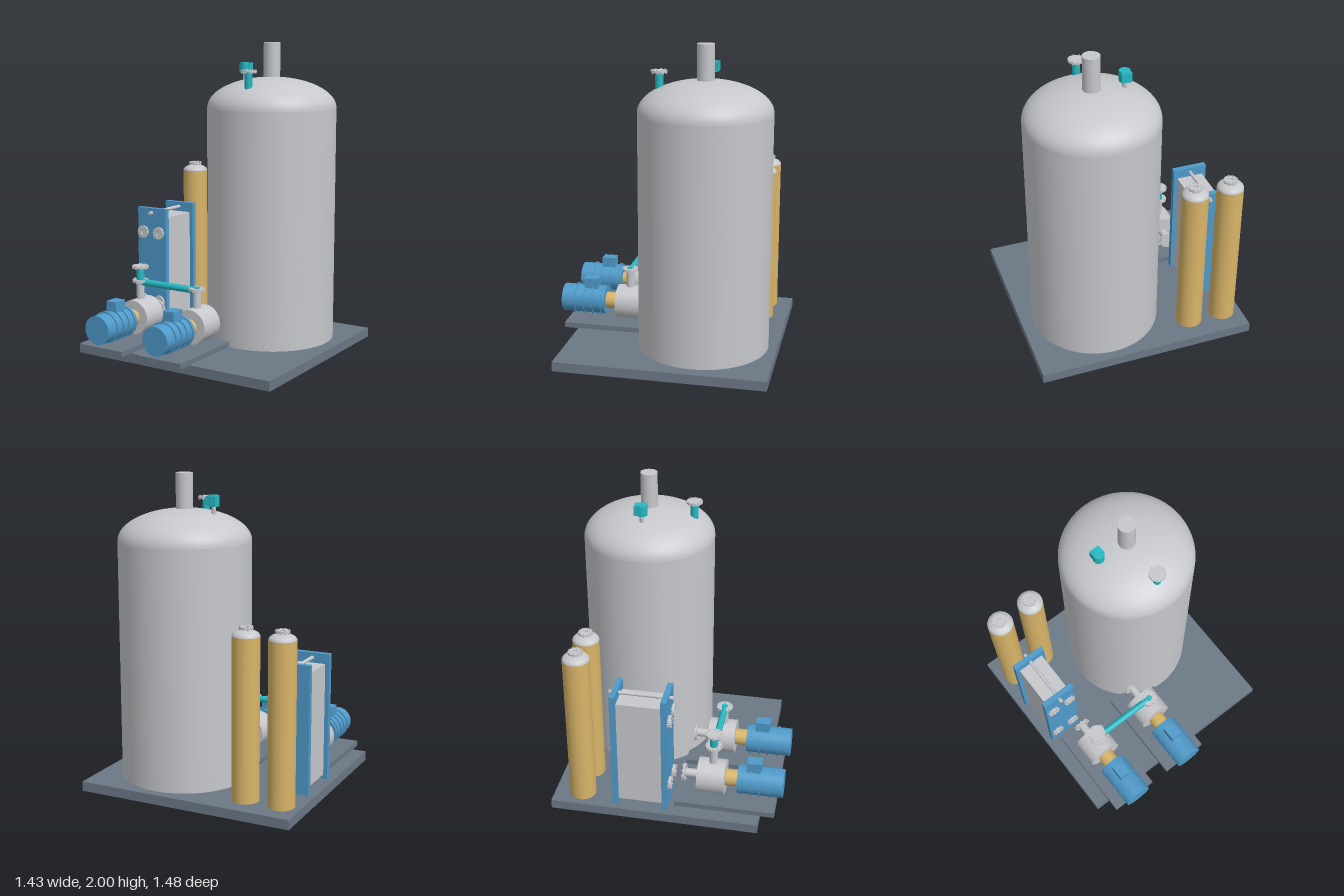
import * as THREE from 'three';

const mat = (name, color) => new THREE.MeshStandardMaterial({ name, color });

export function createModel() {
  const steel = mat('steel', 0xc6c8cc);
  const blue = mat('blue paint', 0x4f9aca);
  const teal = mat('teal pipe', 0x26b8c2);
  const tan = mat('tan shell', 0xd8b468);
  const slate = mat('slate base', 0x6c7886);

  const model = new THREE.Group();
  model.name = 'tankSkid';

  const add = (parent, name, geo, material, x = 0, y = 0, z = 0) => {
    const m = new THREE.Mesh(geo, material);
    m.name = name;
    m.position.set(x, y, z);
    parent.add(m);
    return m;
  };
  // Box given by its min and max on each axis
  const box = (parent, name, material, x0, x1, y0, y1, z0, z1) =>
    add(parent, name, new THREE.BoxGeometry(x1 - x0, y1 - y0, z1 - z0), material,
      (x0 + x1) / 2, (y0 + y1) / 2, (z0 + z1) / 2);
  // Upright, front-to-back and sideways cylinders between two ends
  const cylY = (parent, name, material, r, x, z, y0, y1, seg = 32) =>
    add(parent, name, new THREE.CylinderGeometry(r, r, y1 - y0, seg), material, x, (y0 + y1) / 2, z);
  const cylZ = (parent, name, material, r, x, y, z0, z1, seg = 32) => {
    const m = cylY(parent, name, material, r, x, 0, z0, z1, seg);
    m.position.set(x, y, (z0 + z1) / 2);
    m.rotation.x = Math.PI / 2;
    return m;
  };
  // Bolted flange, axis along y unless turned to face z
  const flange = (parent, name, x, y, z, r, facesZ = false, hole = 0) => {
    const g = new THREE.Group();
    g.name = name;
    if (hole) {
      const s = new THREE.Shape().absarc(0, 0, r, 0, Math.PI * 2);
      s.holes.push(new THREE.Path().absarc(0, 0, hole, 0, Math.PI * 2, true));
      const geo = new THREE.ExtrudeGeometry(s, { depth: 0.012, bevelEnabled: false, curveSegments: 24 });
      geo.translate(0, 0, -0.006).rotateX(Math.PI / 2);
      add(g, 'flangeRing', geo, steel);
    } else {
      cylY(g, 'flangeDisc', steel, r, 0, 0, -0.006, 0.006);
    }
    for (let i = 0; i < 8; i++) {
      const a = i * Math.PI / 4;
      cylY(g, 'bolt', steel, r * 0.12, Math.cos(a) * r * 0.84, Math.sin(a) * r * 0.84, -0.014, 0.011, 6);
    }
    g.position.set(x, y, z);
    if (facesZ) g.rotation.x = Math.PI / 2;
    parent.add(g);
  };
  // Straight wall followed by an elliptical dome
  const domePoints = (r, y0, h, n) => {
    const pts = [];
    for (let i = 0; i <= n; i++) {
      const a = (i / n) * Math.PI / 2;
      pts.push(new THREE.Vector2(i === n ? 0 : r * Math.cos(a), y0 + h * Math.sin(a)));
    }
    return pts;
  };

  // Base slab
  box(model, 'baseSlab', slate, -0.715, 0.712, 0, 0.062, -0.74, 0.605);

  // Storage tank
  const tank = new THREE.Group();
  tank.name = 'storageTank';
  model.add(tank);
  const TX = 0.213, TZ = -0.262;
  add(tank, 'tankWall', new THREE.CylinderGeometry(0.42, 0.42, 1.52, 64, 1, true), steel, TX, 0.82, TZ);
  add(tank, 'tankDome', new THREE.LatheGeometry(domePoints(0.42, 1.58, 0.2, 16), 64), steel, TX, 0, TZ);
  cylY(tank, 'tankNeck', steel, 0.054, TX, TZ, 1.74, 2.0);
  cylY(tank, 'ventPipe', teal, 0.025, TX, 0.028, 1.68, 1.82);
  flange(tank, 'ventFlange', TX, 1.823, 0.028, 0.052);

  // Relief valve on the dome
  const valve = new THREE.Group();
  valve.name = 'reliefValve';
  model.add(valve);
  cylY(valve, 'valveStem', steel, 0.014, 0.008, -0.265, 1.72, 1.81, 16);
  cylY(valve, 'valveBody', teal, 0.035, 0.008, -0.265, 1.80, 1.868, 20);
  box(valve, 'valveActuator', teal, -0.025, 0.041, 1.805, 1.865, -0.31, -0.25);

  // Two filter columns at the back
  for (const x of [-0.588, -0.352]) {
    const f = new THREE.Group();
    f.name = 'filterColumn';
    model.add(f);
    const z = -0.558;
    cylY(f, 'filterShell', tan, 0.085, x, z, 0.06, 1.083, 40);
    add(f, 'filterCap', new THREE.LatheGeometry(domePoints(0.085, 1.083, 0.04, 8), 40), steel, x, 0, z);
    cylY(f, 'filterNeck', steel, 0.025, x, z, 1.11, 1.132, 24);
    flange(f, 'filterFlange', x, 1.134, z, 0.045, false, 0.016);
  }

  // Plate heat exchanger
  const hx = new THREE.Group();
  hx.name = 'heatExchanger';
  model.add(hx);
  box(hx, 'frontFramePlate', blue, -0.672, -0.442, 0.06, 0.885, -0.018, 0.018);
  box(hx, 'backFramePlate', blue, -0.672, -0.442, 0.06, 0.885, -0.34, -0.305);
  box(hx, 'platePack', steel, -0.645, -0.467, 0.09, 0.82, -0.305, -0.018);
  cylZ(hx, 'guideBar', steel, 0.012, -0.557, 0.853, -0.365, 0.045, 16);
  for (const x of [-0.62, -0.493]) {
    for (const y of [0.72, 0.245]) {
      cylZ(hx, 'portPipe', steel, 0.02, x, y, 0.01, 0.028, 20);
      flange(hx, 'portFlange', x, y, 0.032, 0.042, true, 0.018);
    }
  }

  // Pump and motor sets, each on its own plate
  const Y = 0.218, PZ = 0.282;
  for (const x of [-0.46, -0.012]) {
    const p = new THREE.Group();
    p.name = 'pumpSet';
    model.add(p);
    box(p, 'pumpPlate', slate, x - 0.16, x + 0.16, 0.06, 0.095, 0.052, 0.7);
    cylZ(p, 'pumpCasing', steel, 0.112, x, Y, 0.186, 0.365, 48);
    cylZ(p, 'coupling', tan, 0.054, x, Y, 0.36, 0.455);
    cylZ(p, 'motorBody', blue, 0.093, x, Y, 0.445, 0.74, 40);
    for (const z of [0.472, 0.532, 0.592, 0.652])
      cylZ(p, 'motorRib', blue, 0.102, x, Y, z - 0.004, z + 0.004, 40);
    box(p, 'terminalBox', blue, x - 0.038, x + 0.038, 0.28, 0.372, 0.5, 0.595);
    cylZ(p, 'suctionPipe', steel, 0.028, x, Y, 0.09, 0.19);
    flange(p, 'suctionFlange', x, Y, 0.093, 0.058, true);
    cylY(p, 'dischargePipe', steel, 0.026, x, PZ, 0.31, 0.445);
    flange(p, 'dischargeFlange', x, 0.45, PZ, 0.054);
  }

  // Teal pipework joining the two pumps
  const pipes = new THREE.Group();
  pipes.name = 'dischargePipework';
  model.add(pipes);
  cylY(pipes, 'riserPipe', teal, 0.026, -0.46, PZ, 0.45, 0.54);
  flange(pipes, 'riserFlange', -0.46, 0.543, PZ, 0.056);
  const link = cylY(pipes, 'crossPipe', teal, 0.022, 0, PZ, -0.226, 0.226, 24);
  link.position.set(-0.234, 0.44, PZ);
  link.rotation.z = Math.PI / 2;
  cylY(pipes, 'crossPipeEnd', teal, 0.02, -0.012, PZ, 0.44, 0.462, 24);

  return model;
}
